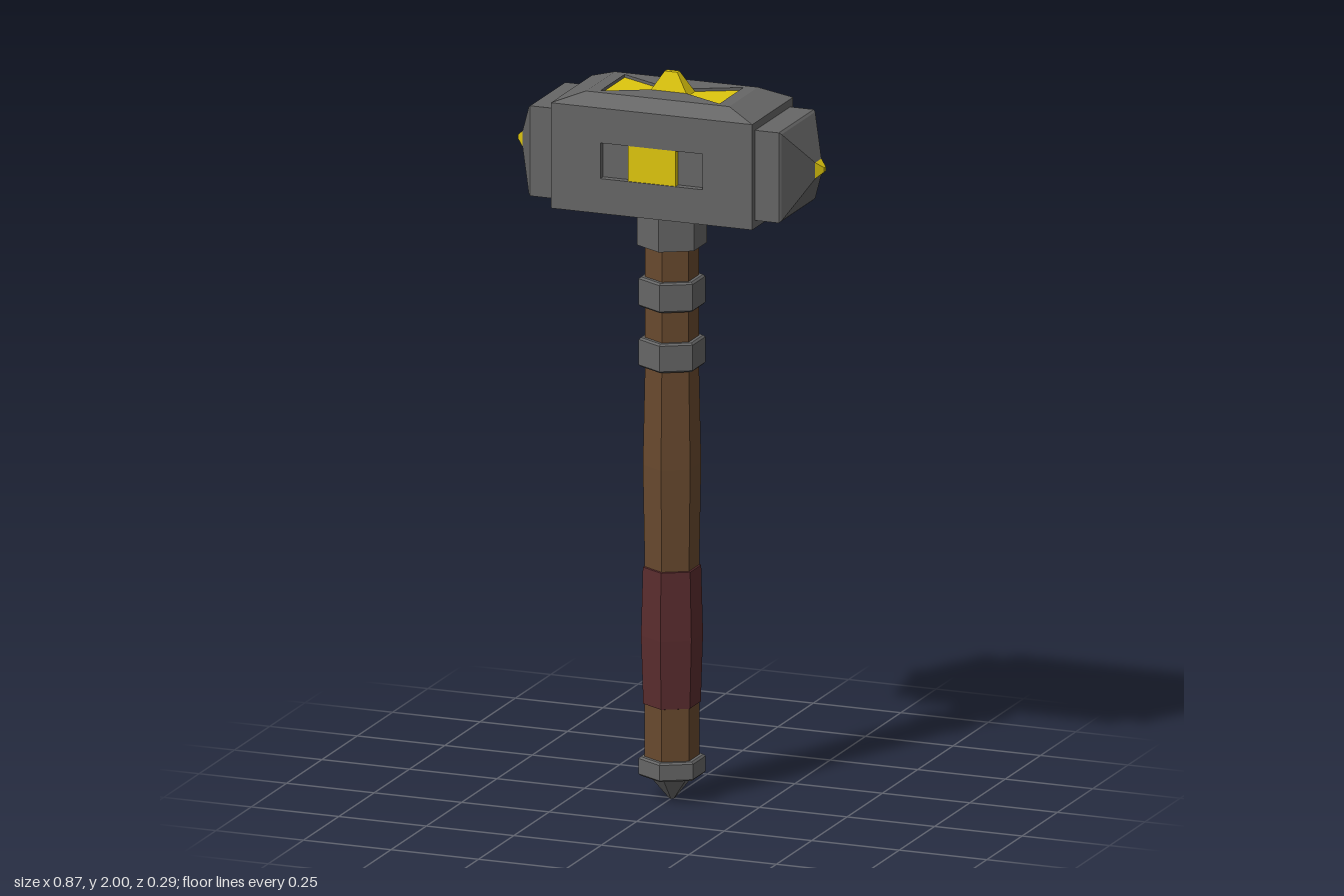
import * as THREE from 'three';

const paint = (color) => new THREE.MeshStandardMaterial({ color, flatShading: true });

export function createModel() {
  const model = new THREE.Group();
  const steel = paint(0x666666), gold = paint(0xdec60e);
  const wood = paint(0x68492e), leather = paint(0x5a2c2e);

  const add = (name, geometry, material, parent = model) => {
    const mesh = new THREE.Mesh(geometry, material);
    mesh.name = name;
    parent.add(mesh);
    return mesh;
  };
  // faceted turned part from [radius, height] pairs, bottom to top
  const turned = (profile, sides = 6) =>
    new THREE.LatheGeometry(profile.map(([r, y]) => new THREE.Vector2(r, y)), sides);
  // square-section part: profile gives half widths
  const squareTurned = (profile) =>
    turned(profile.map(([r, y]) => [r * Math.SQRT2, y]), 4).rotateY(Math.PI / 4);
  // box between heights y0 and y1 whose top has its own size
  const frustum = (w0, d0, w1, d1, y0, y1) => {
    const g = new THREE.BoxGeometry(1, 1, 1);
    const p = g.attributes.position;
    for (let i = 0; i < p.count; i++) {
      const top = p.getY(i) > 0;
      p.setXYZ(i, p.getX(i) * (top ? w1 : w0), top ? y1 : y0, p.getZ(i) * (top ? d1 : d0));
    }
    return g;
  };
  const points = (list) => list.map(([x, y]) => new THREE.Vector2(x, y));
  const rect = (x, y) => points([[-x, -y], [x, -y], [x, y], [-x, y]]);
  const slab = (outline, hole, depth) => {
    const shape = new THREE.Shape(outline);
    shape.holes.push(new THREE.Path(hole));
    return new THREE.ExtrudeGeometry(shape, { depth, bevelEnabled: false });
  };

  // handle
  add('shaft', turned([[0.073, 0.1], [0.073, 0.64], [0.078, 0.92], [0.072, 1.2], [0.072, 1.56]]), wood);
  add('grip', turned([[0.07, 0.26], [0.077, 0.262], [0.083, 0.45], [0.078, 0.638], [0.07, 0.64]]), leather);
  add('pommelTip', turned([[0, 0], [0.008, 0], [0.062, 0.065]]), steel);

  // hexagonal rings with narrow bevels
  const ring = (name, y0, y1, r) => add(name, turned([
    [0.04, y0], [r - 0.006, y0], [r, y0 + 0.005], [r, y1 - 0.005], [r - 0.006, y1], [0.04, y1],
  ]), steel);
  ring('pommelRing', 0.065, 0.117, 0.09);
  ring('lowerRing', 1.19, 1.27, 0.089);
  ring('upperRing', 1.355, 1.437, 0.089);
  add('headCollar', turned([[0.04, 1.525], [0.094, 1.525], [0.094, 1.64]]), steel);

  // head core, the floor of the side slots
  const head = new THREE.Group();
  head.name = 'head';
  model.add(head);
  const midY = 1.775, recess = 0.02;
  add('headCore', new THREE.BoxGeometry(0.575, 0.29, 0.25).translate(0, midY, 0), steel, head);

  // front and back plates with a slot and a gold inlay
  for (const side of [1, -1]) {
    const plate = slab(rect(0.2875, 0.145), rect(0.146, 0.049), recess);
    const cheek = new THREE.Group();
    cheek.name = side > 0 ? 'frontCheek' : 'backCheek';
    cheek.position.y = midY;
    cheek.rotation.y = side > 0 ? 0 : Math.PI;
    head.add(cheek);
    add('slottedPlate', plate.translate(0, 0, 0.125), steel, cheek);
    add('slotInlay', new THREE.BoxGeometry(0.136, 0.098, 0.017).translate(0, 0, 0.1335), gold, cheek);
  }

  // chamfered crown with a bow-tie recess
  add('crown', frustum(0.575, 0.29, 0.465, 0.233, 1.92, 1.94), steel, head);
  const bow = points([
    [-0.17, -0.086], [-0.053, -0.026], [0.053, -0.026], [0.17, -0.086],
    [0.17, 0.086], [0.053, 0.026], [-0.053, 0.026], [-0.17, 0.086],
  ]);
  const crownTop = slab(rect(0.205, 0.1025), bow, 0.01);
  const p = crownTop.attributes.position;
  for (let i = 0; i < p.count; i++) {
    if (p.getZ(i) < 0.005 && Math.abs(p.getX(i)) > 0.2) {
      p.setXY(i, Math.sign(p.getX(i)) * 0.2325, Math.sign(p.getY(i)) * 0.1165);
    }
  }
  add('crownTop', crownTop.rotateX(-Math.PI / 2).translate(0, 1.94, 0), steel, head);
  const bowGeometry = new THREE.ShapeGeometry(new THREE.Shape(bow));
  add('bowInlay', bowGeometry.rotateX(-Math.PI / 2).translate(0, 1.942, 0), gold, head);
  add('crownSpike', frustum(0.11, 0.053, 0.036, 0.016, 1.942, 2.0), gold, head);

  // striking ends with pyramid faces and gold points
  for (const side of [1, -1]) {
    const end = new THREE.Group();
    end.name = side > 0 ? 'leftEnd' : 'rightEnd';
    end.position.y = midY;
    end.rotation.z = -side * Math.PI / 2;
    head.add(end);
    add('strikingFace', squareTurned([[0.124, 0.27], [0.124, 0.355], [0.119, 0.361], [0.022, 0.418]]), steel, end);
    add('facePoint', squareTurned([[0.022, 0.418], [0.006, 0.437], [0, 0.437]]), gold, end);
  }
  return model;
}
